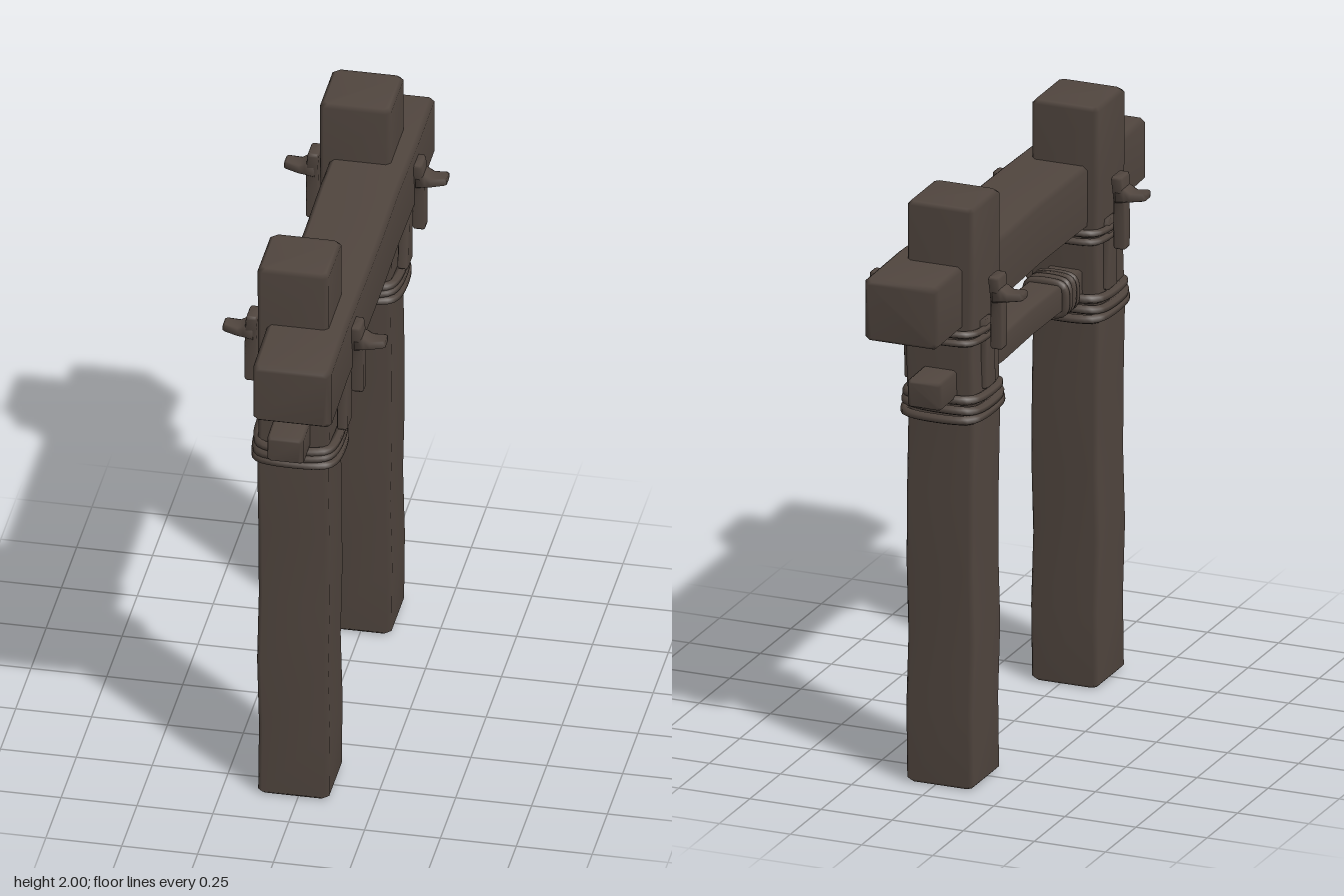
import * as THREE from 'three';

const wood = new THREE.MeshStandardMaterial({ color: 0x51463f });
wood.name = 'dark weathered wood';

// Chamfered-square loft along y; each station is [y, centreX, halfX, centreZ, halfZ]
function loft(stations, chamfer = 0.12) {
  const k = 1 - 2 * chamfer;
  const ring = [[1, -k], [1, k], [k, 1], [-k, 1], [-1, k], [-1, -k], [-k, -1], [k, -1]];
  const n = ring.length, pos = [], idx = [];
  for (const [y, cx, hx, cz, hz] of stations)
    for (const [u, v] of ring) pos.push(cx + u * hx, y, cz + v * hz);
  for (let s = 0; s < stations.length - 1; s++)
    for (let i = 0; i < n; i++) {
      const a = s * n + i, b = s * n + (i + 1) % n;
      idx.push(a, a + n, b, b, a + n, b + n);
    }
  const last = (stations.length - 1) * n;
  for (let i = 1; i < n - 1; i++) {
    idx.push(0, i, i + 1);
    idx.push(last, last + i + 1, last + i);
  }
  const g = new THREE.BufferGeometry();
  g.setAttribute('position', new THREE.Float32BufferAttribute(pos, 3));
  g.setIndex(idx);
  g.computeVertexNormals();
  return g;
}

// Hewn timber with bevelled ends and a faint waviness
function timber(length, hx, hz, bevel, waves, chamfer) {
  const st = [[0, 0, hx - bevel, 0, hz - bevel]];
  for (let i = 0; i <= waves; i++) {
    const t = i / waves;
    const w = 0.003 * Math.sin(i * 2.3);
    st.push([bevel + t * (length - 2 * bevel), w, hx, -w, hz]);
  }
  st.push([length, 0, hx - bevel, 0, hz - bevel]);
  return loft(st, chamfer);
}

// Rounded-square rope loop lying in the xz plane, tilted a little
function ropeLoop(hx, hz, radius, tilt, phase) {
  const pts = [];
  for (let i = 0; i < 12; i++) {
    const a = (i + 0.5) / 12 * Math.PI * 2;
    const c = Math.cos(a), s = Math.sin(a);
    const f = (v) => Math.sign(v) * Math.pow(Math.abs(v), 0.45);
    pts.push(new THREE.Vector3(f(c) * hx, tilt * Math.sin(a + phase), f(s) * hz));
  }
  return new THREE.TubeGeometry(new THREE.CatmullRomCurve3(pts, true), 48, radius, 6, true);
}

export function createModel() {
  const model = new THREE.Group();
  model.name = 'timberGate';
  const add = (name, geometry, parent = model, x = 0, y = 0, z = 0) => {
    const mesh = new THREE.Mesh(geometry, wood);
    mesh.name = name;
    mesh.position.set(x, y, z);
    parent.add(mesh);
    return mesh;
  };

  // Top beam and lower rail
  add('topBeam', timber(1.72, 0.129, 0.108, 0.012, 6, 0.06).rotateX(Math.PI / 2), model, 0.03, 1.69, -0.86);
  add('lowerRail', timber(1.505, 0.06, 0.048, 0.008, 6, 0.08).rotateX(Math.PI / 2), model, -0.02, 1.393, -0.785);

  // Rope wound round the rail
  for (let i = 0; i < 4; i++)
    add('railRope', ropeLoop(0.068, 0.055, 0.014, 0.004, i * 2).rotateX(Math.PI / 2),
      model, -0.02, 1.39, 0.215 + i * 0.027);

  for (const z of [0.485, -0.537]) {
    const side = new THREE.Group();
    side.name = z > 0 ? 'frontPost' : 'backPost';
    side.position.z = z;
    model.add(side);
    add('post', timber(2, 0.117, 0.117, 0.012, 8, 0.06), side, -0.016);

    // Post lashings: three loops below the rail, two under the beam
    [1.283, 1.312, 1.341].forEach((y, i) =>
      add('lowerRope', ropeLoop(0.134 - i * 0.003, 0.139 - i * 0.003, 0.016, 0.005, i * 1.7), side, -0.015, y));
    [1.546, 1.569].forEach((y, i) =>
      add('upperRope', ropeLoop(0.128, 0.137, 0.013, 0.004, i * 2.1 + 1), side, -0.013, y));

    // Wedge and peg on both faces
    for (const dir of [1, -1]) {
      const fitting = new THREE.Group();
      fitting.name = dir > 0 ? 'leftFitting' : 'rightFitting';
      fitting.position.set(dir > 0 ? 0 : -0.005, 0, z > 0 ? -0.02 : -0.005);
      fitting.rotation.y = dir > 0 ? 0 : Math.PI;
      side.add(fitting);
      const lean = z > 0 ? 0 : 0.012 * dir;
      add('wedge', loft([
        [1.36, 0.126, 0.016, lean, 0.038], [1.366, 0.126, 0.018, lean, 0.042],
        [1.53, 0.126, 0.018, 0, 0.036], [1.60, 0.126, 0.016, -lean, 0.034],
      ]), fitting);
      add('peg', loft([
        [1.50, 0.173, 0.018, 0, 0.02], [1.506, 0.173, 0.021, 0, 0.023],
        [1.60, 0.173, 0.021, 0, 0.025], [1.66, 0.173, 0.02, 0, 0.025],
        [1.70, 0.172, 0.019, 0, 0.037], [1.742, 0.168, 0.019, 0, 0.04],
        [1.75, 0.168, 0.016, 0, 0.036],
      ]), fitting);
      // Pin pointing outwards from the peg
      add('pin', loft([
        [0.165, -1.69, 0.03, 0, 0.037], [0.195, -1.688, 0.022, 0, 0.036],
        [0.215, -1.683, 0.014, 0, 0.034], [0.258, -1.69, 0.014, 0, 0.026],
        [0.265, -1.69, 0.011, 0, 0.023],
      ]).rotateZ(-Math.PI / 2).scale(1, 1, 1), fitting);
    }
  }
  return model;
}
